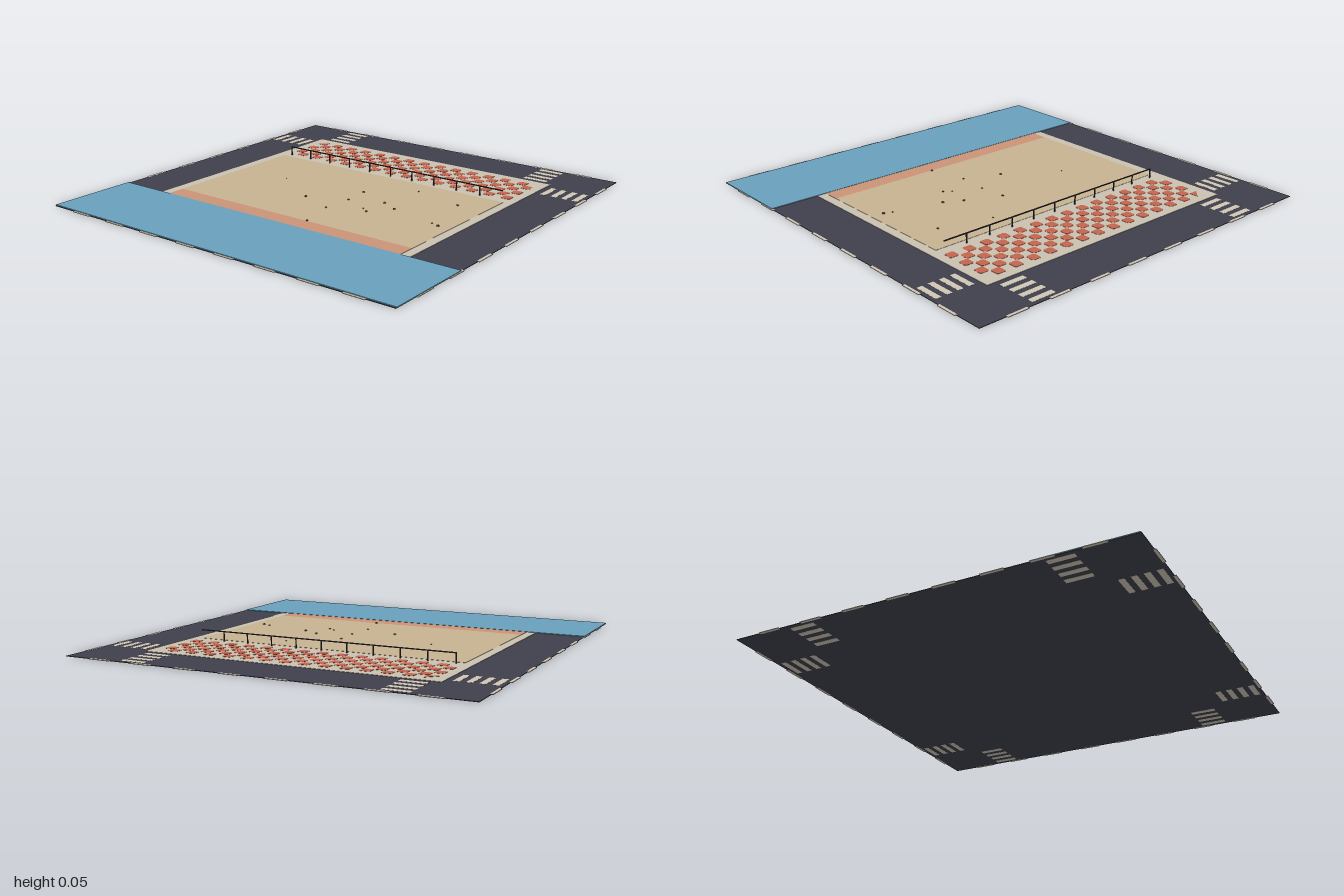
import * as THREE from 'three';

const mat = (name, color) => {
  const m = new THREE.MeshStandardMaterial({ color });
  m.name = name;
  return m;
};

export function createModel() {
  const root = new THREE.Group();
  root.name = 'seasideBlock';
  const asphalt = mat('asphalt', 0x403f4c);
  const paint = mat('roadPaint', 0xcfc6b4);
  const stone = mat('pavingStone', 0xc9c0af);
  const sandMat = mat('sand', 0xc7b391);
  const clay = mat('redTile', 0xc2654e);
  const coral = mat('coralPaving', 0xca9477);
  const waterMat = mat('water', 0x689fbc);
  const iron = mat('darkIron', 0x34343c);
  const pebbleMat = mat('pebble', 0x5f4a36);

  // Box given by its limits on each axis
  const slab = (name, m, x0, x1, y0, y1, z0, z1, parent = root) => {
    const mesh = new THREE.Mesh(new THREE.BoxGeometry(x1 - x0, y1 - y0, z1 - z0), m);
    mesh.position.set((x0 + x1) / 2, (y0 + y1) / 2, (z0 + z1) / 2);
    mesh.name = name;
    parent.add(mesh);
    return mesh;
  };
  const group = (name) => {
    const g = new THREE.Group();
    g.name = name;
    root.add(g);
    return g;
  };

  // Stacked ground layers
  slab('road', asphalt, -0.993, 0.993, 0.0005, 0.003, -0.993, 0.993);
  slab('pavement', stone, -0.743, 0.743, 0.002, 0.0045, -0.746, 0.743);
  slab('beachSand', sandMat, -0.695, 0.695, 0.004, 0.0055, -0.347, 0.44);
  slab('coralPromenade', coral, -0.695, 0.695, 0.004, 0.0055, 0.44, 0.695);
  slab('water', waterMat, -0.994, 0.994, 0.0035, 0.0068, 0.532, 0.988);

  // Dashed centre lines along the outer edges
  const dashes = group('laneDashes');
  for (let i = 0; i < 8; i++) {
    const c = (i - 3.5) * 0.2285;
    for (const s of [-1, 1]) {
      const a = s < 0 ? -1 : 0.986, b = s < 0 ? -0.986 : 1;
      slab('laneDash', paint, c - 0.055, c + 0.055, 0.0003, 0.0034, a, b, dashes);
      slab('laneDash', paint, a, b, 0.0003, 0.0034, c - 0.055, c + 0.055, dashes);
    }
  }

  // Two crosswalks at each corner
  const crosswalks = group('crosswalks');
  for (const sx of [-1, 1]) for (const sz of [-1, 1]) for (let i = 0; i < 4; i++) {
    const across = 0.957 - i * 0.0567, along = 0.638;
    for (const [x, z, w, d] of [[along, across, 0.128, 0.029], [across, along, 0.029, 0.128]]) {
      slab('crosswalkStripe', paint, sx * x - w / 2, sx * x + w / 2, 0, 0.0034,
        sz * z - d / 2, sz * z + d / 2, crosswalks);
    }
  }

  // Checkered plaza of clipped-corner tiles
  const plaza = group('checkeredPlaza');
  const step = 0.0497, h = step / 2, c = 0.007;
  const tileGeometry = (points) => new THREE.ExtrudeGeometry(
    new THREE.Shape(points.map(([x, y]) => new THREE.Vector2(x, y))),
    { depth: 0.0012, bevelEnabled: false }).rotateX(-Math.PI / 2);
  const tile = tileGeometry([[c - h, -h], [h - c, -h], [h, c - h], [h, h - c],
    [h - c, h], [c - h, h], [-h, h - c], [-h, c - h]]);
  const halfTile = tileGeometry([[-h, -h], [h, -h], [h, h]]);
  for (let row = 0; row < 6; row++) for (let col = row % 2; col < 28; col += 2) {
    const mesh = new THREE.Mesh(row + col === 0 ? halfTile : tile, clay);
    mesh.position.set((col - 13.5) * step, 0.0043, -0.675 + row * step);
    mesh.name = 'plazaTile';
    plaza.add(mesh);
  }

  // Railing between the plaza and the beach
  const railing = group('railing');
  slab('topRail', iron, -0.664, 0.672, 0.05, 0.055, -0.378, -0.373, railing);
  for (let i = 0; i < 10; i++) {
    const x = -0.662 + i * 0.1342;
    slab('railPost', iron, x - 0.0025, x + 0.0025, 0.004, 0.051, -0.378, -0.373, railing);
  }

  // Pebbles on the sand: x, z, radius
  const pebbles = group('pebbles');
  const stoneGeometry = new THREE.DodecahedronGeometry(1);
  [[0.275, -0.24, 0.004], [0.545, -0.17, 0.006], [0.063, -0.066, 0.006], [-0.393, -0.01, 0.003],
    [0.075, 0.075, 0.005], [0.245, 0.011, 0.007], [0.335, 0.06, 0.007], [0.213, 0.14, 0.004],
    [0.25, 0.167, 0.006], [-0.123, 0.162, 0.007], [0.588, 0.12, 0.005], [0.63, 0.136, 0.008],
    [0.063, 0.235, 0.005], [0.11, 0.437, 0.006]].forEach(([x, z, r], i) => {
    const p = new THREE.Mesh(stoneGeometry, pebbleMat);
    p.scale.set(r, r * 0.8, r);
    p.rotation.y = i;
    p.position.set(x, 0.0065, z);
    p.name = 'pebble';
    pebbles.add(p);
  });

  return root;
}
